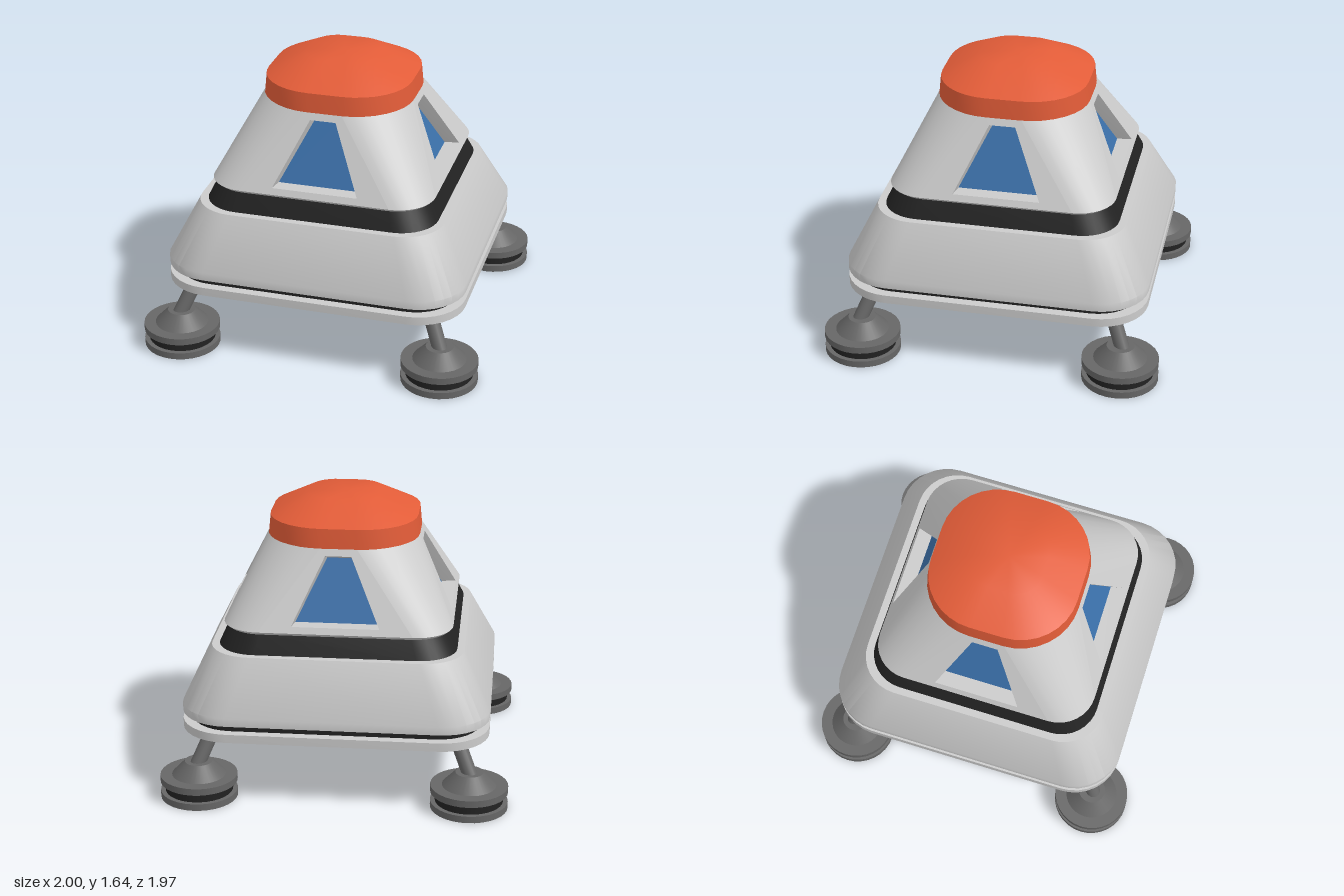
import * as THREE from 'three';
import { toCreasedNormals } from 'three/addons/utils/BufferGeometryUtils.js';

const mat = (color) => new THREE.MeshStandardMaterial({ color });
const GREY = mat(0xcccccc), DARK = mat(0x222222), ORANGE = mat(0xe25c38);
const BLUE = mat(0x3a6fa8), PAD = mat(0x666666);
const REVEAL = new THREE.MeshStandardMaterial({ color: 0xcccccc, side: THREE.DoubleSide });

const SEG = 8; // segments per rounded corner

// Rounded-square outline: half width, half length of its straight sides, height
function ring([half, flat, y]) {
  const pts = [];
  for (let k = 0; k < 4; k++) {
    const cx = (k === 0 || k === 3 ? 1 : -1) * flat;
    const cz = (k < 2 ? 1 : -1) * flat;
    for (let j = 0; j <= SEG; j++) {
      const a = (k + j / SEG) * Math.PI / 2;
      pts.push([cx + (half - flat) * Math.cos(a), y, cz + (half - flat) * Math.sin(a)]);
    }
  }
  return pts;
}

// Skin over rings listed from bottom to top; cornersOnly leaves the flat sides open
function loft(sections, cornersOnly = false) {
  const rings = sections.map(ring);
  const n = rings[0].length, pos = rings.flat(2), idx = [];
  for (let r = 0; r < rings.length - 1; r++) {
    for (let i = 0; i < n; i++) {
      if (cornersOnly && i % (SEG + 1) === SEG) continue;
      const a = r * n + i, b = r * n + (i + 1) % n;
      idx.push(a, a + n, b + n, a, b + n, b);
    }
  }
  if (!cornersOnly) {
    const bottom = rings.length * n, top = bottom + 1, last = (rings.length - 1) * n;
    pos.push(0, sections[0][2], 0, 0, sections[sections.length - 1][2], 0);
    for (let i = 0; i < n; i++) {
      const j = (i + 1) % n;
      idx.push(bottom, i, j, top, last + j, last + i);
    }
  }
  return polygons(pos, idx);
}

function polygons(pos, idx) {
  const g = new THREE.BufferGeometry();
  g.setAttribute('position', new THREE.Float32BufferAttribute(pos, 3));
  g.setIndex(idx);
  return toCreasedNormals(g, 0.6);
}

function add(parent, name, geometry, material) {
  const mesh = new THREE.Mesh(geometry, material);
  mesh.name = name;
  parent.add(mesh);
  return mesh;
}

// Cabin wall: two sections and the slope between them
const LOW = [0.658, 0.44, 0.975], HIGH = [0.436, 0.1, 1.42];
const wallZ = (y) => LOW[0] + (HIGH[0] - LOW[0]) * (y - LOW[2]) / (HIGH[2] - LOW[2]);

// Trapezoid corners, counterclockwise
const trapezoid = (w0, y0, w1, y1) => [[-w0, y0], [w0, y0], [w1, y1], [-w1, y1]];

// One flat cabin side with its recessed window, facing +z
function cabinSide() {
  const side = new THREE.Group();
  side.name = 'cabinSide';
  const opening = trapezoid(0.25, 1.01, 0.075, 1.375);
  const pane = trapezoid(0.235, 1.01, 0.07, 1.345);
  const depth = 0.085;

  const toPoints = (c) => c.map(([x, y]) => new THREE.Vector2(x, y));
  const shape = new THREE.Shape(toPoints(trapezoid(LOW[1], LOW[2], HIGH[1], HIGH[2])));
  shape.holes.push(new THREE.Path(toPoints(opening)));
  const wall = new THREE.ShapeGeometry(shape);
  const p = wall.attributes.position;
  for (let i = 0; i < p.count; i++) p.setZ(i, wallZ(p.getY(i)));
  wall.computeVertexNormals();
  add(side, 'wall', wall, GREY);

  const outer = opening.map(([x, y]) => [x, y, wallZ(y)]);
  const inner = pane.map(([x, y]) => [x, y, wallZ(y) - depth]);
  const idx = [];
  for (let i = 0; i < 4; i++) {
    const j = (i + 1) % 4;
    idx.push(i, j, j + 4, i, j + 4, i + 4);
  }
  add(side, 'windowFrame', polygons([...outer, ...inner].flat(), idx), REVEAL);
  add(side, 'windowPane', polygons(inner.flat(), [0, 1, 2, 0, 2, 3]), BLUE);
  return side;
}

// Landing leg with a layered round foot
function landingLeg(sx, sz) {
  const leg = new THREE.Group();
  leg.name = 'landingLeg';
  const foot = new THREE.Group();
  foot.name = 'foot';
  foot.position.set(sx * 0.778, 0, sz * 0.765);
  leg.add(foot);
  // name, bottom radius, top radius, bottom, top, material
  for (const [name, r0, r1, y0, y1, m] of [
    ['sole', 0.222, 0.222, 0, 0.04, PAD],
    ['footBand', 0.195, 0.195, 0.04, 0.095, DARK],
    ['footPlate', 0.222, 0.222, 0.095, 0.135, PAD],
    ['footCone', 0.155, 0.08, 0.135, 0.214, PAD],
  ]) {
    add(foot, name, new THREE.CylinderGeometry(r1, r0, y1 - y0, 32), m).position.y = (y0 + y1) / 2;
  }
  const from = new THREE.Vector3(sx * 0.79, 0.18, sz * 0.783);
  const to = new THREE.Vector3(sx * 0.685, 0.42, sz * 0.683);
  const dir = to.clone().sub(from);
  const strut = add(leg, 'strut', new THREE.CylinderGeometry(0.043, 0.043, dir.length(), 20), PAD);
  strut.position.copy(from).add(to).multiplyScalar(0.5);
  strut.quaternion.setFromUnitVectors(new THREE.Vector3(0, 1, 0), dir.normalize());
  return leg;
}

export function createModel() {
  const model = new THREE.Group();
  model.name = 'landingCapsule';
  const body = new THREE.Group();
  body.name = 'body';
  body.position.z = -0.01;
  model.add(body);

  // Lower hull
  add(body, 'basePlate', loft([[0.883, 0.6, 0.388], [0.883, 0.6, 0.438]]), GREY);
  add(body, 'baseBand', loft([[0.83, 0.58, 0.43], [0.83, 0.58, 0.495]]), DARK);
  add(body, 'lowerHull', loft([[0.883, 0.6, 0.487], [0.883, 0.6, 0.535], [0.727, 0.485, 0.848]]), GREY);
  add(body, 'waistBand', loft([[0.686, 0.465, 0.845], [0.632, 0.43, 0.96]]), DARK);

  // Cabin: bottom lip, rounded corners and four window sides
  add(body, 'cabinLip', loft([[0.64, 0.43, 0.957], LOW]), GREY);
  add(body, 'cabinCorners', loft([LOW, HIGH], true), GREY);
  for (let k = 0; k < 4; k++) {
    const side = cabinSide();
    side.rotation.y = k * Math.PI / 2;
    body.add(side);
  }

  // Roof cap
  add(body, 'roofCap', loft([[0.441, 0.1, 1.413], [0.43, 0.1, 1.526], [0.21, 0.06, 1.64]]), ORANGE);

  for (const sx of [-1, 1]) for (const sz of [-1, 1]) model.add(landingLeg(sx, sz));
  return model;
}
